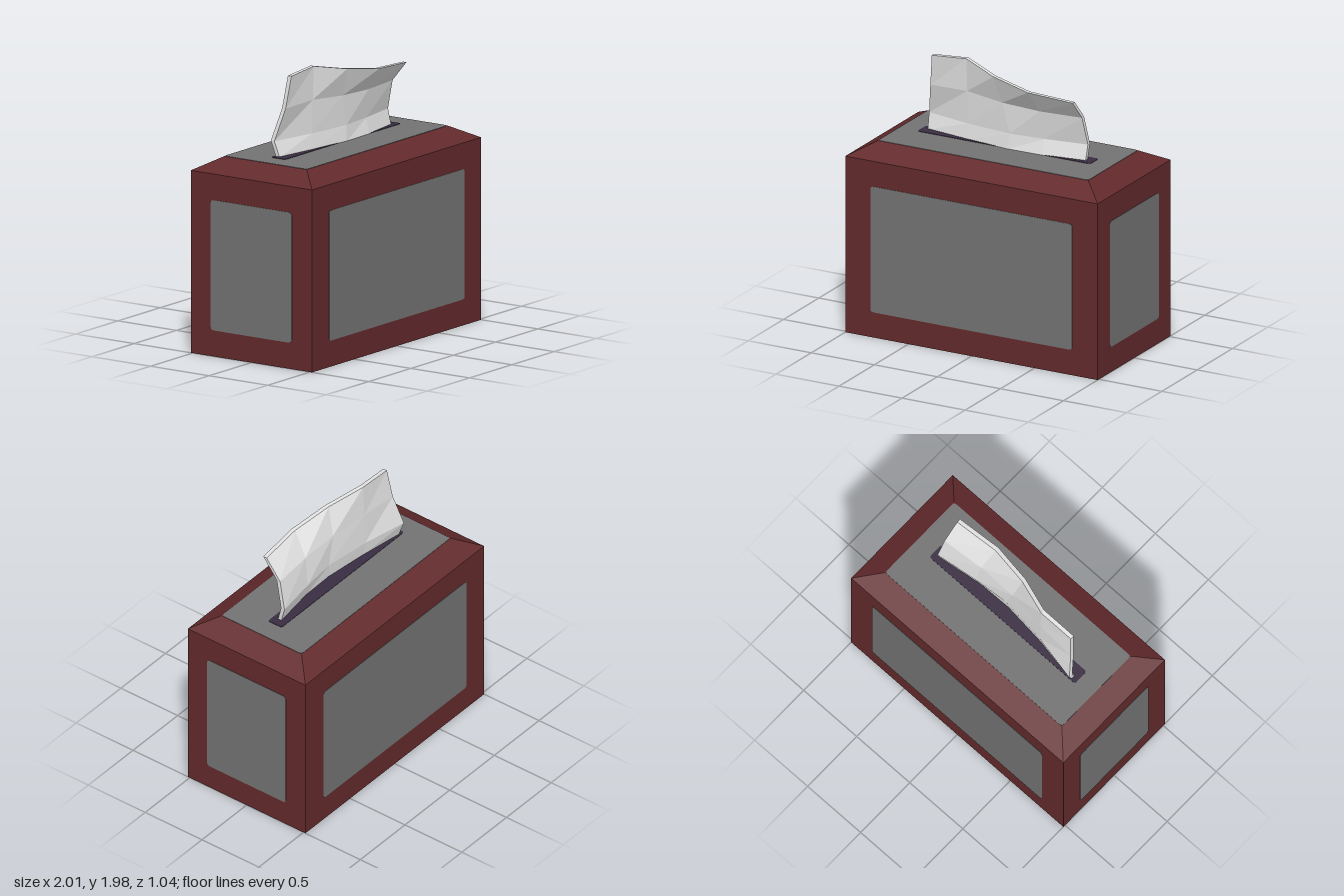
import * as THREE from 'three';
import { ConvexGeometry } from 'three/addons/geometries/ConvexGeometry.js';

const mat = (name, color) => {
  const m = new THREE.MeshStandardMaterial({ color });
  m.name = name;
  return m;
};

// Rounded rectangle plate, centred, facing +z, with its back on z = 0
function plate(w, h, r, t) {
  const x = w / 2, y = h / 2, s = new THREE.Shape();
  s.moveTo(-x + r, -y);
  s.lineTo(x - r, -y);
  s.quadraticCurveTo(x, -y, x, -y + r);
  s.lineTo(x, y - r);
  s.quadraticCurveTo(x, y, x - r, y);
  s.lineTo(-x + r, y);
  s.quadraticCurveTo(-x, y, -x, y - r);
  s.lineTo(-x, -y + r);
  s.quadraticCurveTo(-x, -y, -x + r, -y);
  return new THREE.ExtrudeGeometry(s, { depth: t, bevelEnabled: false, curveSegments: 4 });
}

// Folded sheet: rows of [x, y, z] on the back face, thickened towards +z
function sheet(rows, thickness) {
  const pos = [];
  const front = rows.map(r => r.map(([x, y, z]) => [x, y, z + thickness]));
  const quad = (a, b, c, d) => pos.push(...a, ...b, ...c, ...a, ...c, ...d);
  const n = rows.length - 1, m = rows[0].length - 1;
  for (let j = 0; j < n; j++) {
    for (let i = 0; i < m; i++) {
      quad(front[j][i], front[j][i + 1], front[j + 1][i + 1], front[j + 1][i]);
      quad(rows[j][i + 1], rows[j][i], rows[j + 1][i], rows[j + 1][i + 1]);
    }
    quad(rows[j][0], front[j][0], front[j + 1][0], rows[j + 1][0]);
    quad(front[j][m], rows[j][m], rows[j + 1][m], front[j + 1][m]);
  }
  for (let i = 0; i < m; i++) {
    quad(front[n][i], front[n][i + 1], rows[n][i + 1], rows[n][i]);
    quad(rows[0][i], rows[0][i + 1], front[0][i + 1], front[0][i]);
  }
  const g = new THREE.BufferGeometry();
  g.setAttribute('position', new THREE.Float32BufferAttribute(pos, 3));
  g.computeVertexNormals();
  return g;
}

export function createModel() {
  const group = new THREE.Group();
  const red = mat('dark red', 0x632a2c);
  const grey = mat('panel grey', 0x737373);
  const dark = mat('slot purple', 0x392d42);
  const white = mat('tissue white', 0xe2e2e2);

  const add = (name, geometry, material) => {
    const mesh = new THREE.Mesh(geometry, material);
    mesh.name = name;
    group.add(mesh);
    return mesh;
  };

  // Box body with a chamfered upper rim
  const corners = [];
  for (const [x, y, z] of [[1, 0, 0.517], [1, 1.295, 0.517], [0.835, 1.386, 0.353]])
    for (const sx of [-1, 1])
      for (const sz of [-1, 1]) corners.push(new THREE.Vector3(x * sx, y, z * sz));
  add('boxBody', new ConvexGeometry(corners), red);

  // Side panels
  const t = 0.003, h = 0.925, cy = 0.6475;
  const panels = [
    ['frontPanel', 1.6, 0, 0.517, 0],
    ['backPanel', 1.6, 0, -0.517, Math.PI],
    ['leftPanel', 0.69, 1, 0, Math.PI / 2],
    ['rightPanel', 0.69, -1, 0, -Math.PI / 2],
  ];
  for (const [name, w, x, z, turn] of panels) {
    const p = add(name, plate(w, h, 0.025, t), grey);
    p.position.set(x, cy, z);
    p.rotation.y = turn;
  }

  // Top panel and the slot on it
  const top = add('topPanel', plate(1.666, 0.704, 0.025, t), grey);
  top.position.y = 1.386;
  top.rotation.x = -Math.PI / 2;
  const slot = add('slot', plate(1.37, 0.12, 0.02, t), dark);
  slot.position.y = 1.389;
  slot.rotation.x = -Math.PI / 2;

  // Tissue, rows from the slot upwards
  add('tissue', sheet([
    [[-0.645, 1.385, -0.045], [-0.31, 1.385, 0.005], [0.03, 1.385, 0.04], [0.3, 1.385, 0.035], [0.625, 1.385, -0.01]],
    [[-0.655, 1.5, -0.083], [-0.31, 1.5, -0.012], [0.045, 1.5, 0.028], [0.31, 1.5, 0.005], [0.628, 1.5, -0.04]],
    [[-0.61, 1.73, -0.02], [-0.31, 1.74, -0.005], [-0.01, 1.72, 0.035], [0.29, 1.71, 0.04], [0.61, 1.71, 0.012]],
    [[-0.582, 1.96, 0.01], [-0.31, 1.98, 0.005], [-0.045, 1.925, 0.1], [0.26, 1.878, 0.155], [0.604, 1.855, 0.135]],
  ], 0.03), white);

  return group;
}
